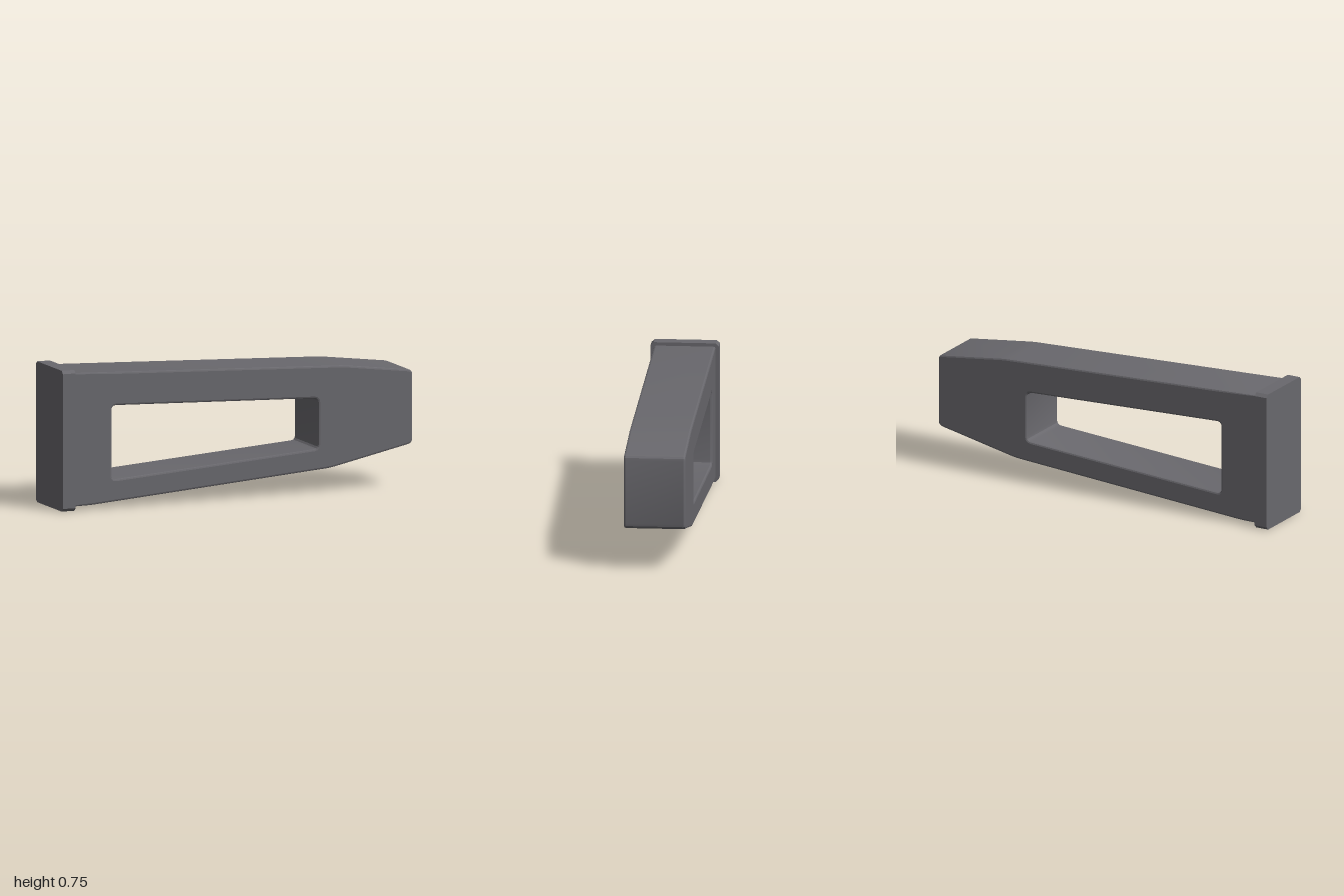
import * as THREE from 'three';
import { toCreasedNormals } from 'three/addons/utils/BufferGeometryUtils.js';

// Trace a closed polygon of [x, y, cornerRadius] with rounded corners.
function roundedPath(path, points) {
  const n = points.length;
  points.forEach(([x, y, r], i) => {
    const corner = new THREE.Vector2(x, y);
    const toward = ([px, py]) =>
      new THREE.Vector2(px, py).sub(corner).setLength(r).add(corner);
    const a = toward(points[(i + n - 1) % n]);
    const b = toward(points[(i + 1) % n]);
    if (i === 0) path.moveTo(a.x, a.y);
    else path.lineTo(a.x, a.y);
    path.quadraticCurveTo(x, y, b.x, b.y);
  });
  path.closePath();
  return path;
}

// Extrude along z, keeping the outline as the outermost edge of the bevel.
function bevelledSlab(shape, halfDepth, bevel) {
  const geometry = new THREE.ExtrudeGeometry(shape, {
    depth: 2 * (halfDepth - bevel),
    bevelThickness: bevel,
    bevelSize: bevel,
    bevelOffset: -bevel,
    bevelSegments: 2,
    curveSegments: 3,
  });
  geometry.translate(0, 0, -(halfDepth - bevel));
  return toCreasedNormals(geometry, 0.3);
}

export function createModel() {
  const model = new THREE.Group();
  const darkGrey = new THREE.MeshStandardMaterial({ color: 0x69686d });
  darkGrey.name = 'darkGrey';

  // Tapered body with a trapezoid window
  const outline = roundedPath(new THREE.Shape(), [
    [-0.95, 0.02, 0.005],
    [-0.83, 0.022, 0.02],
    [0.53, 0.129, 0.03],
    [0.995, 0.23, 0.025],
    [0.995, 0.618, 0.025],
    [0.6, 0.667, 0.03],
    [-0.95, 0.728, 0.005],
  ]);
  outline.holes.push(roundedPath(new THREE.Path(), [
    [-0.713, 0.148, 0.025],
    [-0.713, 0.542, 0.025],
    [0.46, 0.502, 0.025],
    [0.46, 0.235, 0.025],
  ]));
  const body = new THREE.Mesh(bevelledSlab(outline, 0.161, 0.01), darkGrey);
  body.name = 'body';
  model.add(body);

  // End plate with chamfered corners, drawn in z/y and turned to face -x
  const w = 0.179, h = 0.745, c = 0.016, thickness = 0.072;
  const plateShape = new THREE.Shape([
    [-w + c, 0], [w - c, 0], [w, c], [w, h - c],
    [w - c, h], [-w + c, h], [-w, h - c], [-w, c],
  ].map(([x, y]) => new THREE.Vector2(x, y)));
  const plate = new THREE.Mesh(
    new THREE.ExtrudeGeometry(plateShape, { depth: thickness, bevelEnabled: false }),
    darkGrey
  );
  plate.name = 'endPlate';
  plate.rotation.y = Math.PI / 2;
  plate.position.x = -1;
  model.add(plate);

  return model;
}
